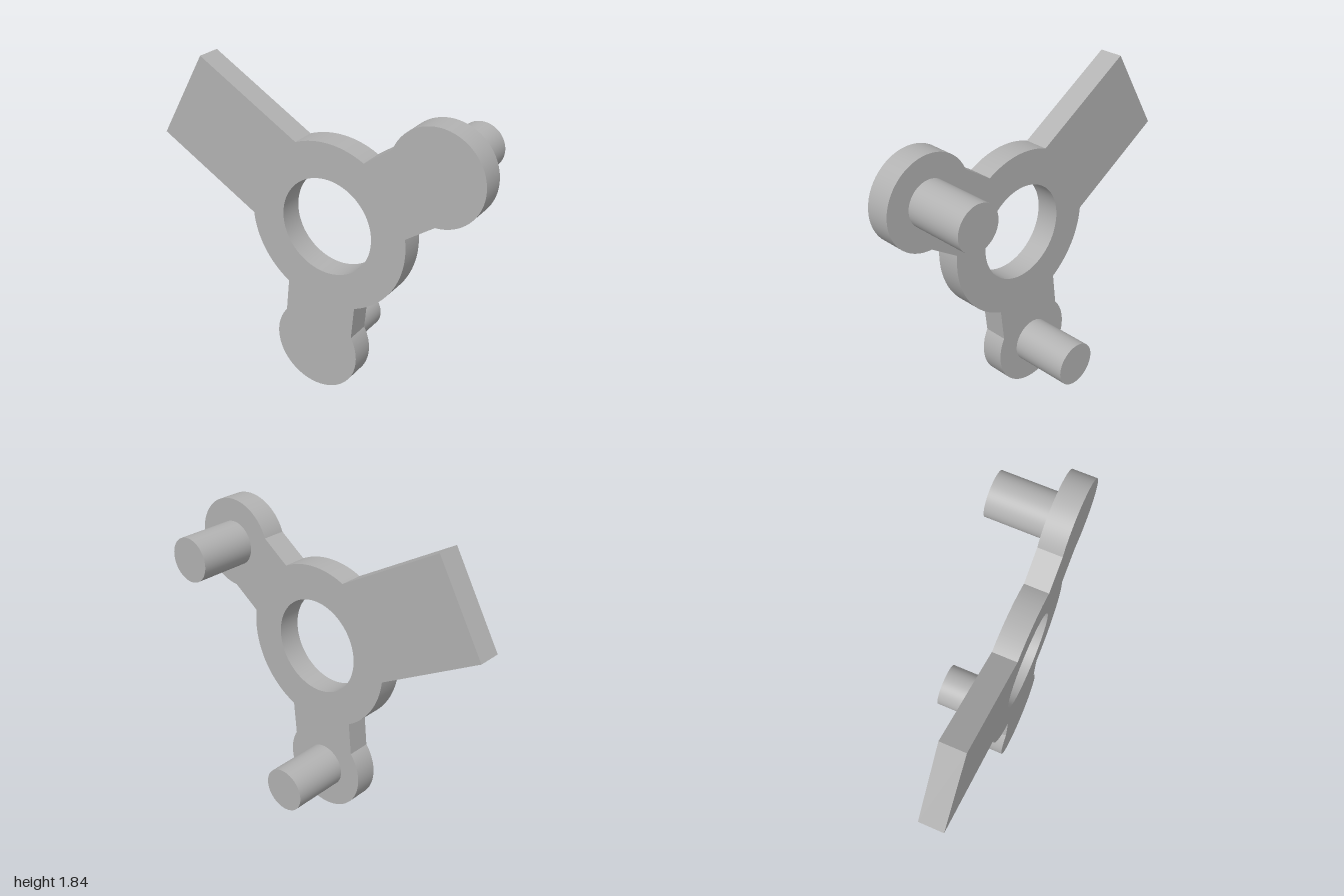
import * as THREE from 'three';
import { toCreasedNormals } from 'three/addons/utils/BufferGeometryUtils.js';

const HUB = { x: 0.095, y: 1.045, r: 0.485, bore: 0.28 };
const PADS = [{ x: 0.735, y: 1.495, r: 0.265 }, { x: 0.025, y: 0.265, r: 0.265 }];
const BACK = 0.105, FRONT = 0.245, PIN_END = -0.245, PIN_RADIUS = 0.131;

export function createModel() {
  const grey = new THREE.MeshStandardMaterial({ color: 0xb2b2b2 });
  grey.name = 'plain grey';
  const group = new THREE.Group();
  group.name = 'threeArmBracket';

  // Plate outline, counter-clockwise; straight arm sides join successive arcs
  const outline = new THREE.Shape();
  const arc = (c, from, to) => outline.absarc(c.x, c.y, c.r,
    Math.atan2(from[1] - c.y, from[0] - c.x),
    Math.atan2(to[1] - c.y, to[0] - c.x), false);
  arc(PADS[0], [0.74, 1.23], [0.485, 1.59]);
  arc(HUB, [0.325, 1.475], [-0.095, 1.49]);
  outline.lineTo(-0.71, 1.845);
  outline.lineTo(-1, 1.345);
  arc(HUB, [-0.385, 1.0], [-0.16, 0.63]);
  arc(PADS[1], [-0.18, 0.435], [0.255, 0.395]);
  arc(HUB, [0.275, 0.595], [0.58, 1.115]);
  outline.closePath();

  // Round bore through the hub
  const bore = new THREE.Path();
  bore.absarc(HUB.x, HUB.y, HUB.bore, 0, Math.PI * 2, true);
  outline.holes.push(bore);

  const plateGeometry = new THREE.ExtrudeGeometry(outline, {
    depth: FRONT - BACK, bevelEnabled: false, curveSegments: 48,
  });
  const plate = new THREE.Mesh(toCreasedNormals(plateGeometry, 0.3), grey);
  plate.name = 'plate';
  plate.position.z = BACK;
  group.add(plate);

  // Pins standing out from the back of the round pads
  const pinLength = BACK - PIN_END;
  const pinGeometry = new THREE.CylinderGeometry(PIN_RADIUS, PIN_RADIUS, pinLength, 64);
  pinGeometry.rotateX(Math.PI / 2);
  PADS.forEach((pad, i) => {
    const pin = new THREE.Mesh(pinGeometry, grey);
    pin.name = i === 0 ? 'upperPin' : 'lowerPin';
    pin.position.set(pad.x, pad.y, (BACK + PIN_END) / 2);
    group.add(pin);
  });

  return group;
}
